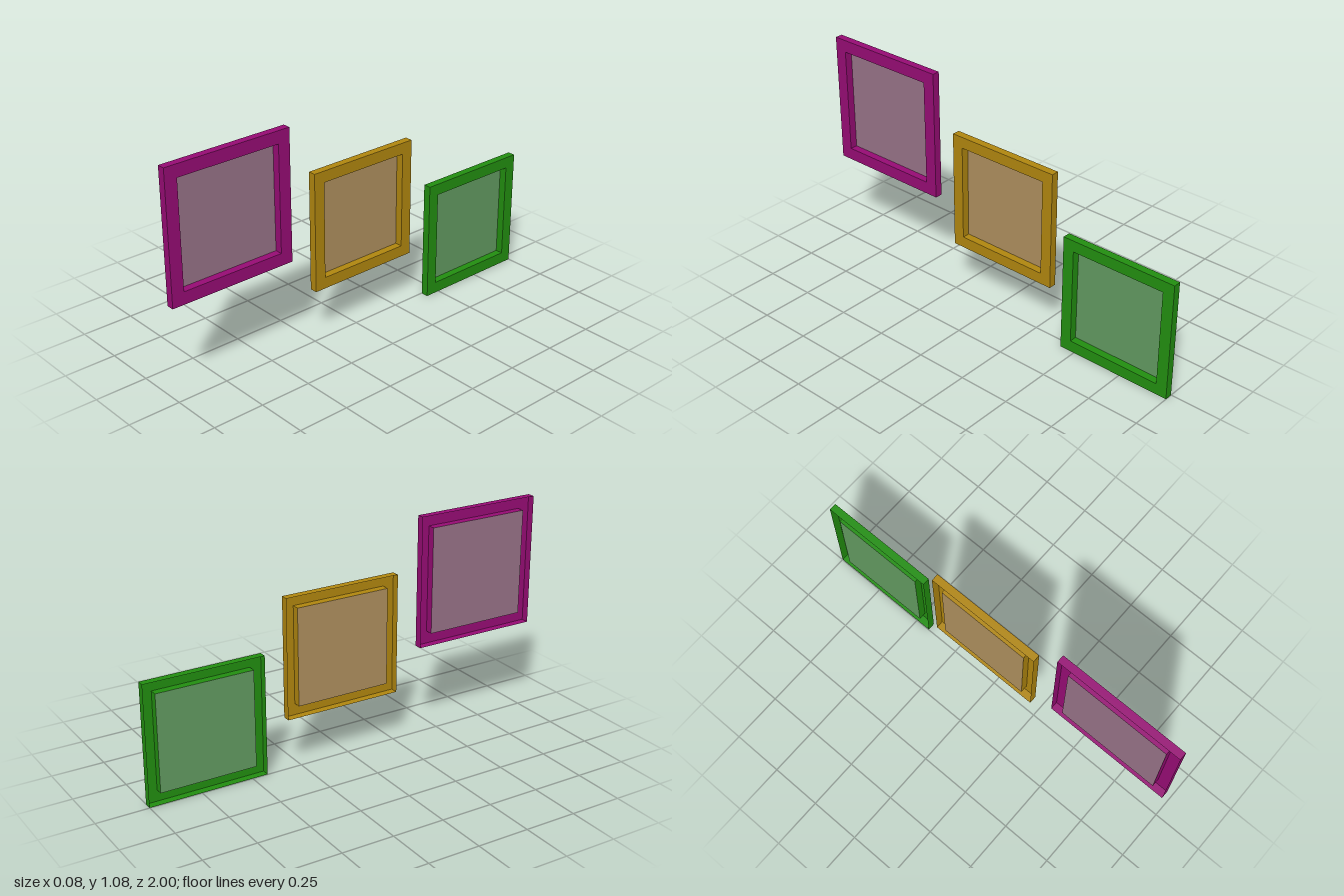
import * as THREE from 'three';

const DEPTH = 0.037;

const paint = (color) =>
  new THREE.MeshStandardMaterial({ color, side: THREE.DoubleSide, flatShading: true });

// Square outline centred on the origin
function square(Type, size) {
  const h = size / 2;
  return new Type([
    new THREE.Vector2(-h, -h), new THREE.Vector2(h, -h),
    new THREE.Vector2(h, h), new THREE.Vector2(-h, h),
  ]);
}

// Four thin walls around a square, open at both ends along x
function sleeve(size) {
  const r = size / Math.SQRT2;
  return new THREE.CylinderGeometry(r, r, DEPTH, 4, 1, true)
    .rotateY(Math.PI / 4)
    .rotateZ(Math.PI / 2);
}

// Hollow picture frame facing +x, open at the back, with a pane set at the rear
function pictureFrame({ name, size, x, y, z, frameColor, paneColor }) {
  const group = new THREE.Group();
  group.name = name;
  group.position.set(x, y, z);
  const frameMat = paint(frameColor);
  const opening = size * 0.81;

  const add = (partName, geometry, material) => {
    const mesh = new THREE.Mesh(geometry, material);
    mesh.name = partName;
    group.add(mesh);
    return mesh;
  };

  // Flat front border with the square opening
  const border = square(THREE.Shape, size);
  border.holes.push(square(THREE.Path, opening));
  add('frontBorder', new THREE.ShapeGeometry(border).rotateY(Math.PI / 2), frameMat)
    .position.x = DEPTH / 2;

  // Outer rim and the inner walls that lead back to the pane
  add('outerRim', sleeve(size), frameMat);
  add('innerWalls', sleeve(opening), frameMat);

  // Pane at the back of the opening
  add('pane', new THREE.PlaneGeometry(opening, opening).rotateY(Math.PI / 2), paint(paneColor))
    .position.x = -DEPTH / 2;

  return group;
}

export function createModel() {
  const model = new THREE.Group();
  model.name = 'pictureFrames';
  const frames = [
    { name: 'purpleFrame', size: 0.63, x: -0.02, y: 0.765, z: 0.685, frameColor: 0x960c74, paneColor: 0x977287 },
    { name: 'goldFrame', size: 0.575, x: -0.011, y: 0.543, z: -0.042, frameColor: 0xb0860f, paneColor: 0xae8f5e },
    { name: 'greenFrame', size: 0.576, x: 0.02, y: 0.288, z: -0.712, frameColor: 0x228e10, paneColor: 0x629a60 },
  ];
  frames.forEach((f) => model.add(pictureFrame(f)));
  return model;
}
